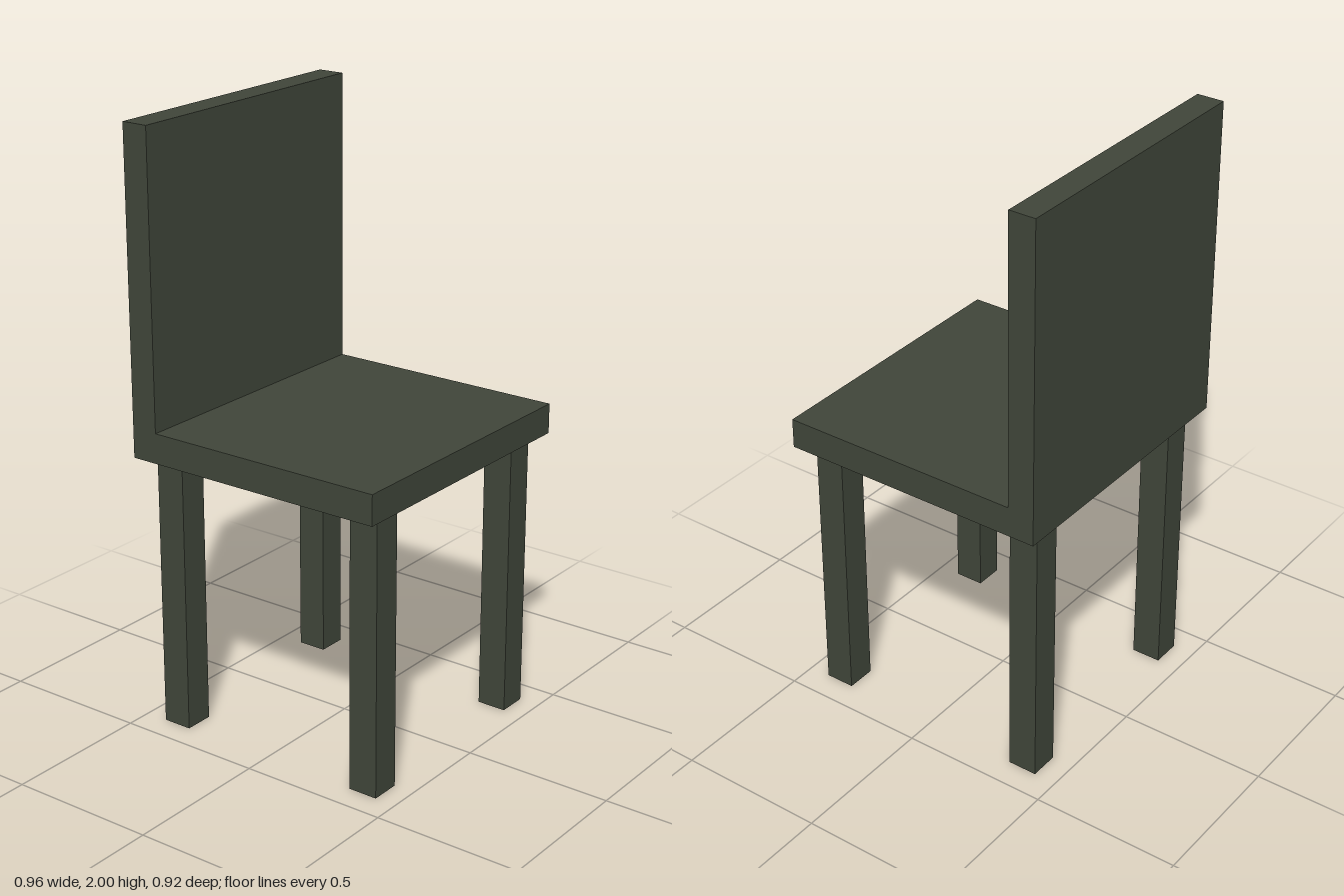
import * as THREE from 'three';

export function createModel() {
  const chair = new THREE.Group();
  chair.name = 'chair';

  const darkOlive = new THREE.MeshStandardMaterial({ color: 0x40463a });
  darkOlive.name = 'darkOlive';

  // Box given by its lower and upper limits on each axis
  const addBox = (name, [x0, x1], [y0, y1], [z0, z1]) => {
    const mesh = new THREE.Mesh(new THREE.BoxGeometry(x1 - x0, y1 - y0, z1 - z0), darkOlive);
    mesh.position.set((x0 + x1) / 2, (y0 + y1) / 2, (z0 + z1) / 2);
    mesh.name = name;
    chair.add(mesh);
  };

  const halfWidth = 0.48;
  const seatBottom = 0.935;
  const seatTop = 1.035;
  const backFront = -0.368; // front face of the backrest

  // Seat butts against the backrest, which runs down to the seat's underside
  addBox('seat', [-halfWidth, halfWidth], [seatBottom, seatTop], [backFront, 0.459]);
  addBox('backrest', [-halfWidth, halfWidth], [seatBottom, 2], [-0.459, backFront]);

  // Four square legs
  const legHalf = 0.05;
  for (const [side, x] of [['Left', 0.358], ['Right', -0.362]]) {
    for (const [end, z] of [['front', 0.378], ['back', -0.373]]) {
      addBox(`${end}${side}Leg`, [x - legHalf, x + legHalf], [0, seatBottom], [z - legHalf, z + legHalf]);
    }
  }

  return chair;
}
